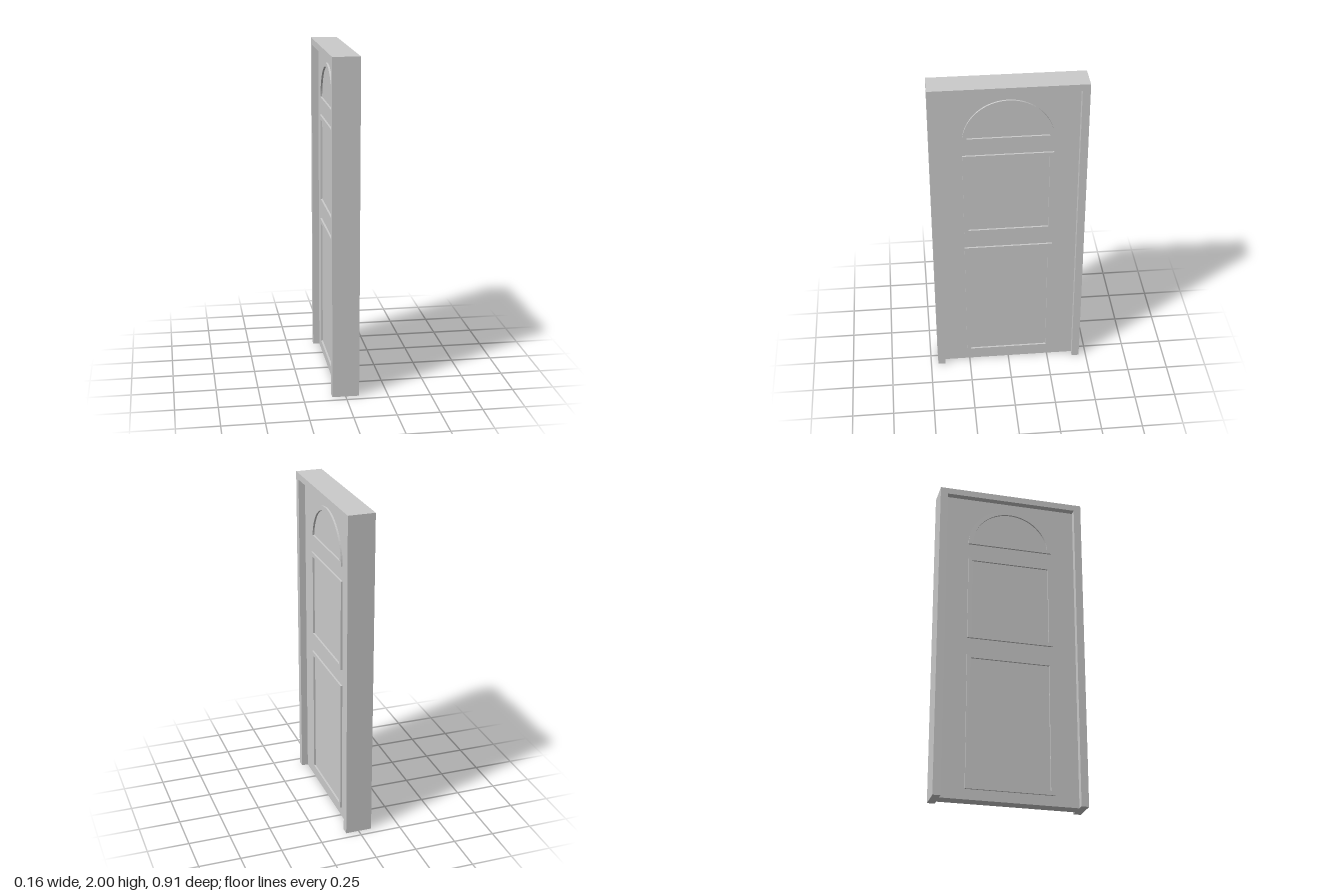
import * as THREE from 'three';

const material = new THREE.MeshStandardMaterial({ color: 0xcccccc, flatShading: true });

const WIDTH = 0.91, HEIGHT = 2, DEPTH = 0.16;
const OPEN_HALF = 0.41, OPEN_TOP = 1.96; // opening inside the frame
const SLAB = 0.08;                       // door thickness
const TRIM = 0.025, RAISE = 0.011;       // moulding width and relief

const polygon = (points) => points.map(([x, y]) => new THREE.Vector2(x, y));

const rectangle = (half, bottom, top) =>
  polygon([[-half, bottom], [half, bottom], [half, top], [-half, top]]);

// Half-disc outline cut off by a flat base
function archOutline(radius, centreY, baseY) {
  const start = Math.asin((baseY - centreY) / radius);
  const points = [];
  const steps = 40;
  for (let i = 0; i <= steps; i++) {
    const a = start + (Math.PI - 2 * start) * i / steps;
    points.push(new THREE.Vector2(radius * Math.cos(a), centreY + radius * Math.sin(a)));
  }
  return points;
}

// Extrudes an outline through the wall direction (x), starting at the given x
function extrudeAcross(name, outline, hole, startX, depth) {
  const shape = new THREE.Shape(outline);
  if (hole) shape.holes.push(new THREE.Path(hole));
  const geometry = new THREE.ExtrudeGeometry(shape, { depth, bevelEnabled: false });
  geometry.translate(0, 0, startX);
  geometry.rotateY(Math.PI / 2);
  const mesh = new THREE.Mesh(geometry, material);
  mesh.name = name;
  return mesh;
}

export function createModel() {
  const door = new THREE.Group();
  door.name = 'panelledDoor';

  // Jambs and head in one piece, open at the floor
  const w = WIDTH / 2;
  const frameOutline = polygon([
    [-w, 0], [-OPEN_HALF, 0], [-OPEN_HALF, OPEN_TOP], [OPEN_HALF, OPEN_TOP],
    [OPEN_HALF, 0], [w, 0], [w, HEIGHT], [-w, HEIGHT],
  ]);
  door.add(extrudeAcross('doorFrame', frameOutline, null, -DEPTH / 2, DEPTH));

  // Door leaf, set back equally from both faces of the frame
  const leaf = new THREE.Mesh(new THREE.BoxGeometry(SLAB, OPEN_TOP, OPEN_HALF * 2), material);
  leaf.name = 'doorLeaf';
  leaf.position.y = OPEN_TOP / 2;
  door.add(leaf);

  // Raised mouldings, repeated on both faces
  const half = 0.265;
  const panels = [
    ['lowerPanelMoulding', rectangle(half, 0.062, 0.895),
      rectangle(half - TRIM, 0.062 + TRIM, 0.895 - TRIM)],
    ['middlePanelMoulding', rectangle(half, 1.0, 1.55),
      rectangle(half - TRIM, 1.0 + TRIM, 1.55 - TRIM)],
    ['archedPanelMoulding', archOutline(half, 1.64, 1.64),
      archOutline(half - TRIM, 1.64, 1.64 + TRIM)],
  ];
  for (const startX of [SLAB / 2, -SLAB / 2 - RAISE]) {
    const face = new THREE.Group();
    face.name = startX > 0 ? 'leftFaceMouldings' : 'rightFaceMouldings';
    for (const [name, outline, hole] of panels) {
      face.add(extrudeAcross(name, outline, hole, startX, RAISE));
    }
    door.add(face);
  }

  return door;
}
